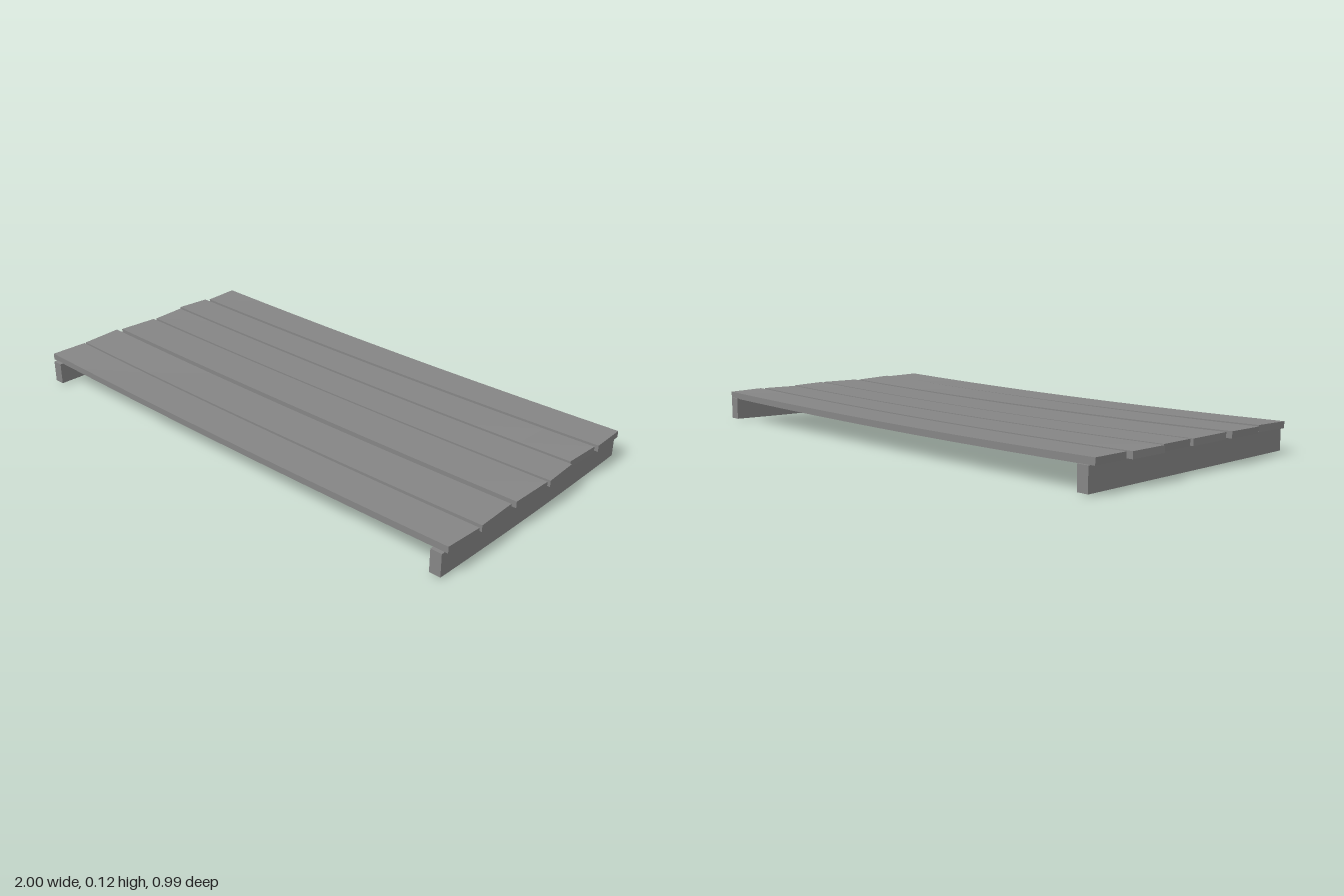
import * as THREE from 'three';

const mat = new THREE.MeshStandardMaterial({ color: 0x858585, flatShading: true });

// Box given by its limits, subdivided and then bent by a rule
function board(name, [x0, x1], [y0, y1], [z0, z1], segX, segZ, bend) {
  const g = new THREE.BoxGeometry(x1 - x0, y1 - y0, z1 - z0, segX, 1, segZ);
  g.translate((x0 + x1) / 2, (y0 + y1) / 2, (z0 + z1) / 2);
  const p = g.attributes.position;
  const v = new THREE.Vector3();
  for (let i = 0; i < p.count; i++) {
    v.fromBufferAttribute(p, i);
    bend(v);
    p.setXYZ(i, v.x, v.y, v.z);
  }
  g.computeVertexNormals();
  const mesh = new THREE.Mesh(g, mat);
  mesh.name = name;
  return mesh;
}

export function createModel() {
  const group = new THREE.Group();
  group.name = 'plankPlatform';

  // Worn planks: z limits, x limits, end skew, cross tilt, edge bow
  const planks = [
    [-0.488, -0.345, -0.985, 0.988, 0.003, 0.001, 0.001],
    [-0.33, -0.19, -0.998, 0.98, -0.004, -0.001, 0.001],
    [-0.178, -0.037, -0.985, 0.993, 0.004, 0.001, 0.001],
    [-0.025, 0.14, -0.988, 0.99, -0.003, -0.001, -0.003],
    [0.16, 0.325, -0.996, 0.985, 0.004, 0.002, 0.001],
    [0.337, 0.482, -0.988, 0.985, -0.003, 0.001, -0.001],
  ];
  planks.forEach(([z0, z1, x0, x1, skew, tilt, bow], i) => {
    const mid = (z0 + z1) / 2, half = (z1 - z0) / 2;
    group.add(board('plank' + (i + 1), [x0, x1], [0.091, 0.115], [z0, z1], 10, 1, (v) => {
      const t = (v.z - mid) / half;
      const s = 1 - v.x * v.x;
      v.y += tilt * t * v.x - 0.011 * s;
      v.x += skew * t;
      v.z += bow * s;
    }));
  });

  // End beams carrying the planks, with a slightly uneven underside
  for (const side of [-1, 1]) {
    const xs = side < 0 ? [-0.97, -0.928] : [0.928, 0.97];
    group.add(board(side < 0 ? 'rightBeam' : 'leftBeam', xs, [0.008, 0.091], [-0.496, 0.496], 1, 6, (v) => {
      if (v.y < 0.05) v.y -= side < 0 ? 0 : 0.008 * Math.cos(v.z * Math.PI);
    }));
  }

  // Thin middle rail under the planks, running from beam to beam
  group.add(board('middleRail', [-0.93, 0.93], [0.071, 0.09], [-0.085, 0.085], 10, 1, (v) => {
    if (v.y > 0.08) v.y -= 0.01 * (1 - v.x * v.x);
  }));

  return group;
}
